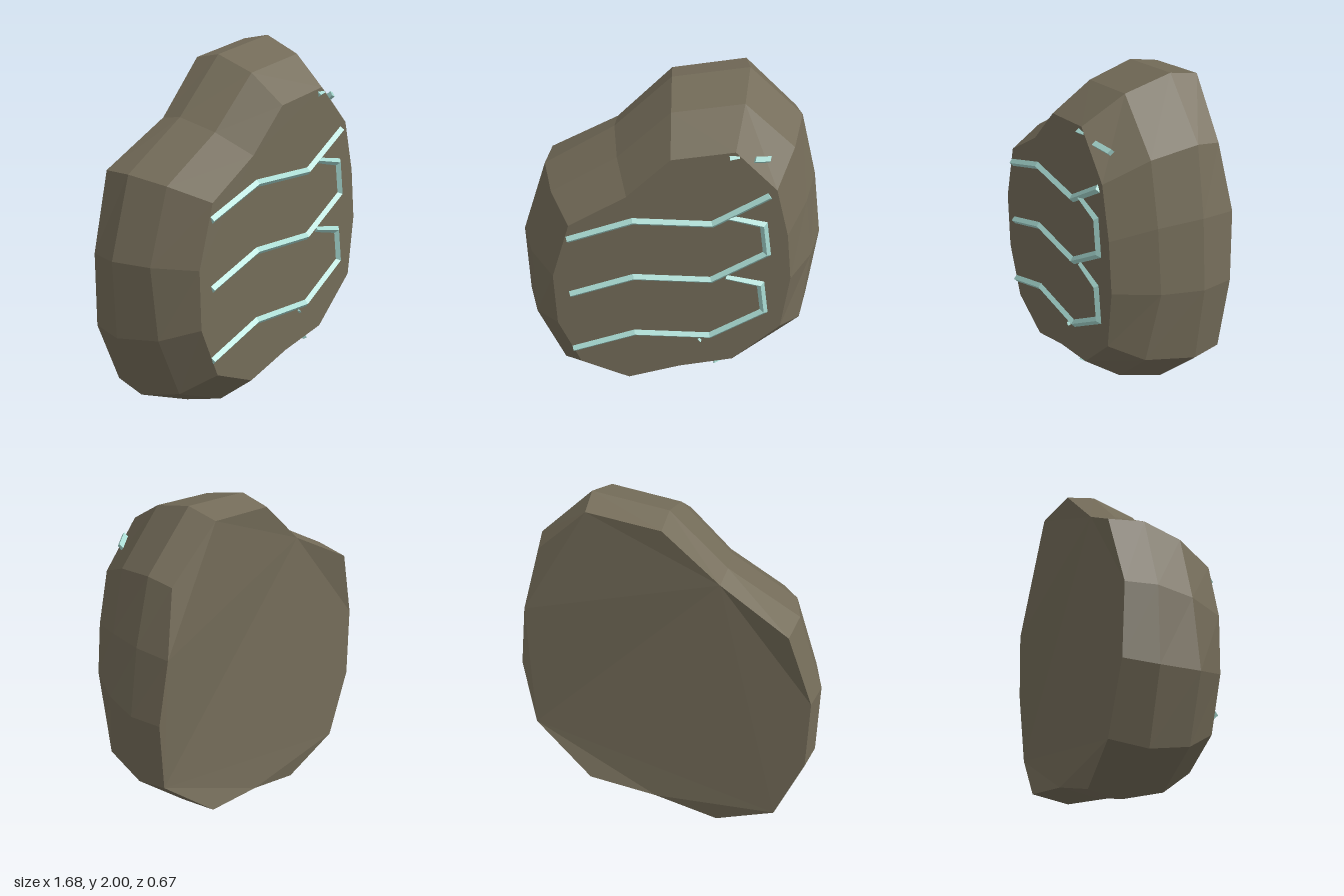
import * as THREE from 'three';

const stone = new THREE.MeshStandardMaterial({ color: 0x746c59, flatShading: true });
stone.name = 'stone';
const glow = new THREE.MeshStandardMaterial({ color: 0xa6d8d0, flatShading: true });
glow.name = 'pale teal';

// Outline at the widest girth, and the smaller outline of the flat front
const girth = [[0.41, 2.0], [0, 1.94], [-0.31, 1.64], [-0.7, 1.4], [-0.84, 0.96], [-0.83, 0.53], [-0.67, 0.15],
  [-0.32, 0], [0.05, 0.12], [0.45, 0.2], [0.79, 0.52], [0.84, 0.96], [0.79, 1.35], [0.7, 1.72]];
const face = [[0.33, 1.77], [0, 1.72], [-0.23, 1.49], [-0.54, 1.3], [-0.64, 0.96], [-0.63, 0.63], [-0.51, 0.34],
  [-0.24, 0.22], [0.05, 0.31], [0.35, 0.37], [0.61, 0.62], [0.65, 0.96], [0.62, 1.25], [0.55, 1.54]];
// Uneven depths of the chipped back edge
const backZ = [-0.32, -0.315, -0.285, -0.335, -0.3, -0.31, -0.32, -0.29, -0.31, -0.33, -0.28, -0.305, -0.33, -0.285];

function buildGeometry(points, index) {
  const g = new THREE.BufferGeometry();
  g.setAttribute('position', new THREE.Float32BufferAttribute(points.flat(), 3));
  g.setIndex(index);
  const flat = g.toNonIndexed();
  flat.computeVertexNormals();
  return flat;
}

// Stone slab: four rings from front to back, capped at both ends
function stoneGeometry() {
  const n = girth.length;
  const scaled = ([x, y], s) => [x * s, 0.97 + (y - 0.97) * s];
  const rings = [
    face.map(([x, y]) => [x, y, 0.31]),
    girth.map((p, i) => [...scaled(p, 0.925), i === 10 ? 0.15 : 0.09 + 0.04 * (p[1] < 0.9)]),
    girth.map(([x, y]) => [x, y, -0.11 - 0.022 * y]),
    girth.map((p, i) => [...scaled(p, 0.965), backZ[i]]),
  ];
  const index = [];
  for (let r = 0; r < rings.length - 1; r++) {
    for (let i = 0; i < n; i++) {
      const a = r * n + i, b = r * n + (i + 1) % n;
      index.push(a, a + n, b + n, a, b + n, b);
    }
  }
  const cap = (ring) => THREE.ShapeUtils.triangulateShape(ring.map(([x, y]) => new THREE.Vector2(x, y)), []);
  for (const [a, b, c] of cap(rings[0])) index.push(a, b, c);
  const last = 3 * n;
  for (const [a, b, c] of cap(rings[3])) index.push(last + a, last + c, last + b);
  return buildGeometry(rings.flat(), index);
}

// Ridge with a diamond section and mitred corners along a path
function ridgeGeometry(path, half = 0.021, height = 0.02) {
  const pts = path.map((p) => new THREE.Vector3(...p));
  const normal = (a, b) => new THREE.Vector2(a.y - b.y, b.x - a.x).normalize();
  const points = [], index = [];
  pts.forEach((p, j) => {
    const before = normal(pts[Math.max(j - 1, 0)], pts[Math.max(j, 1)]);
    const after = j < pts.length - 1 ? normal(p, pts[j + 1]) : before;
    const m = before.clone().add(after).normalize();
    m.multiplyScalar(half / m.dot(after));
    points.push([p.x + m.x, p.y + m.y, p.z], [p.x, p.y, p.z + height],
      [p.x - m.x, p.y - m.y, p.z], [p.x, p.y, p.z - height]);
    if (j === pts.length - 1) return;
    for (let k = 0; k < 4; k++) {
      const a = j * 4 + k, b = j * 4 + (k + 1) % 4;
      index.push(a, b, b + 4, a, b + 4, a + 4);
    }
  });
  const e = (pts.length - 1) * 4;
  index.push(0, 2, 1, 0, 3, 2, e, e + 1, e + 2, e, e + 2, e + 3);
  return buildGeometry(points, index);
}

export function createModel() {
  const model = new THREE.Group();
  model.name = 'carvedStone';
  const add = (name, geometry, material) => {
    const mesh = new THREE.Mesh(geometry, material);
    mesh.name = name;
    model.add(mesh);
  };

  add('stoneSlab', stoneGeometry(), stone);

  // Three wavy lines; the lower two curl back at the right
  [0.435, 0.835, 1.21].forEach((y, i) => {
    const path = [[-0.55, y, 0.31], [-0.2, y + 0.125, 0.31], [0.22, y + 0.11, 0.31], [0.515, y + 0.295, 0.31]];
    if (i < 2) path.push([0.49, y + 0.485, 0.31], [0.3, y + 0.53, 0.305]);
    add('waveLine' + (i + 1), ridgeGeometry(path), glow);
  });

  // Short ends of lines that break through the sloping sides
  add('upperLineEnd', ridgeGeometry([[0.43, 1.71, 0.285], [0.51, 1.685, 0.24]]), glow);
  add('upperLineTip', ridgeGeometry([[0.3, 1.735, 0.31], [0.35, 1.74, 0.3]], 0.015), glow);
  add('lowerLineEnd', ridgeGeometry([[0.25, 0.322, 0.28], [0.37, 0.272, 0.14]], 0.015), glow);
  add('lowerLineTip', ridgeGeometry([[0.155, 0.52, 0.305], [0.17, 0.505, 0.305]], 0.01), glow);
  return model;
}
